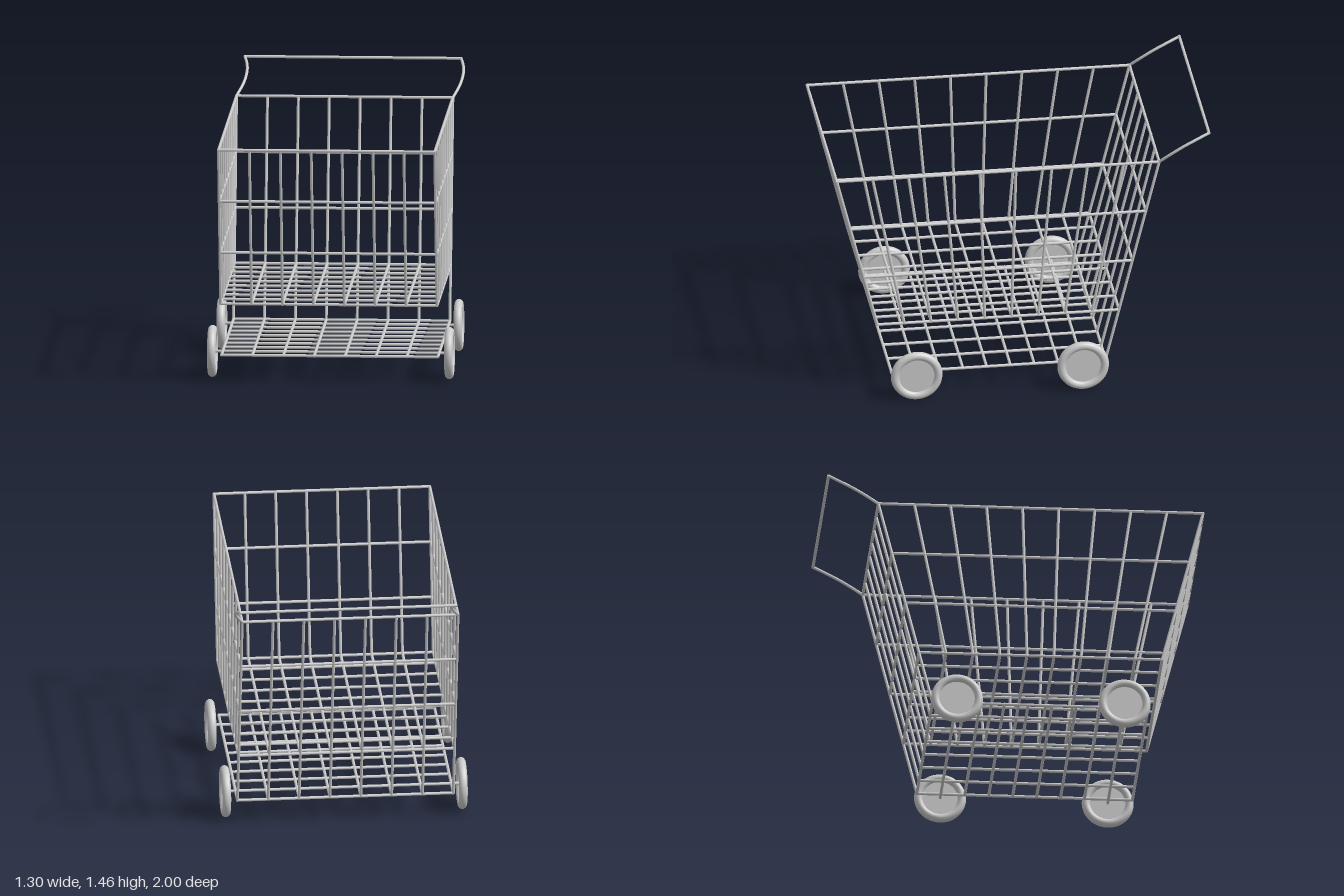
import * as THREE from 'three';

const R = 0.008;          // wire radius
const HALF = 0.573;       // half width of the basket
const COLS = 7, BAYS = 9; // wire spacing across and along
const TOP = 1.287, FLOOR = 0.426, TRAY = 0.138;

const mat = new THREE.MeshStandardMaterial({ color: 0xcccccc, roughness: 0.6 });
const V = (x, y, z) => new THREE.Vector3(x, y, z);
const lerp = THREE.MathUtils.lerp;

// The front and back panels lean outwards towards the rim
const frontZ = (y) => lerp(0.775, 0.992, (y - FLOOR) / (TOP - FLOOR));
const backZ = (y) => lerp(-0.515, -0.73, (y - FLOOR) / (TOP - FLOOR));

export function createModel() {
  const model = new THREE.Group();
  model.name = 'shoppingCart';
  const wireGeo = new THREE.CylinderGeometry(R, R, 1, 10);

  const part = (name, parent = model) => {
    const g = new THREE.Group();
    g.name = name;
    parent.add(g);
    return g;
  };
  const add = (parent, geo, name) => {
    const m = new THREE.Mesh(geo, mat);
    m.name = name;
    parent.add(m);
    return m;
  };
  // Straight round wire between two points
  const wire = (parent, a, b, name) => {
    const d = b.clone().sub(a), m = add(parent, wireGeo, name);
    m.position.copy(a).add(b).multiplyScalar(0.5);
    m.quaternion.setFromUnitVectors(V(0, 1, 0), d.clone().normalize());
    m.scale.y = d.length() + R;
  };
  const colX = (i) => lerp(-HALF, HALF, i / COLS);

  // Leaning end panels: uprights and cross wires
  const panel = (name, zAt, low, rows) => {
    const g = part(name);
    for (let i = 0; i <= COLS; i++) {
      wire(g, V(colX(i), low, zAt(low)), V(colX(i), TOP, zAt(TOP)), 'upright');
    }
    for (let j = 0; j <= rows; j++) {
      const y = lerp(low, TOP, j / rows);
      wire(g, V(-HALF, y, zAt(y)), V(HALF, y, zAt(y)), 'crossWire');
    }
  };
  panel('frontPanel', frontZ, FLOOR, 3);
  panel('backPanel', backZ, TRAY, 4);

  // Side panels with fanned uprights and long rails
  for (const s of [-1, 1]) {
    const g = part(s > 0 ? 'leftPanel' : 'rightPanel'), x = s * HALF;
    for (let i = 1; i < BAYS; i++) {
      const t = i / BAYS;
      wire(g, V(x, FLOOR, lerp(frontZ(FLOOR), backZ(FLOOR), t)),
        V(x, TOP, lerp(frontZ(TOP), backZ(TOP), t)), 'upright');
    }
    for (let j = 1; j <= 3; j++) {
      const y = lerp(FLOOR, TOP, j / 3);
      wire(g, V(x, y, backZ(y)), V(x, y, frontZ(y)), 'rail');
    }
  }

  // Flat grids: basket floor and lower tray
  const grid = (name, y, z0, z1) => {
    const g = part(name);
    for (let i = 0; i <= COLS; i++) wire(g, V(colX(i), y, z0), V(colX(i), y, z1), 'longWire');
    for (let j = 0; j <= BAYS; j++) {
      const z = lerp(z0, z1, j / BAYS);
      wire(g, V(-HALF, y, z), V(HALF, y, z), 'crossWire');
    }
  };
  const trayBack = backZ(TRAY), trayFront = 0.7;
  grid('basketFloor', FLOOR, backZ(FLOOR), frontZ(FLOOR));
  grid('lowerTray', TRAY, trayBack, trayFront);

  // Handle: two arms bent the same way, joined by a push bar
  const handle = part('handle');
  const bend = [[0, TOP, -0.73], [0.034, 1.345, -0.79], [0.048, 1.395, -0.86],
    [0.045, 1.425, -0.92], [0.03, 1.454, -0.992]];
  for (const s of [-1, 1]) {
    const curve = new THREE.CatmullRomCurve3(bend.map(([x, y, z]) => V(s * HALF + x, y, z)));
    add(handle, new THREE.TubeGeometry(curve, 24, R, 10), 'handleArm');
  }
  wire(handle, V(0.03 - HALF, 1.454, -0.992), V(0.03 + HALF, 1.454, -0.992), 'pushBar');

  // Wheels on stub axles that continue two of the tray wires
  const tyreGeo = new THREE.TorusGeometry(0.115, 0.023, 16, 48).rotateY(Math.PI / 2);
  const discGeo = new THREE.CylinderGeometry(0.105, 0.105, 0.016, 48).rotateZ(Math.PI / 2);
  for (const s of [-1, 1]) {
    for (const bay of [1, 8]) {
      const z = lerp(trayBack, trayFront, bay / BAYS);
      const wheel = part((bay === 8 ? 'front' : 'back') + (s > 0 ? 'Left' : 'Right') + 'Wheel');
      wheel.position.set(s * 0.628, TRAY, z);
      add(wheel, tyreGeo, 'tyre');
      add(wheel, discGeo, 'wheelDisc');
      wire(wheel, V(s * (HALF - 0.628), 0, 0), V(s * 0.004, 0, 0), 'axle');
    }
  }
  return model;
}
